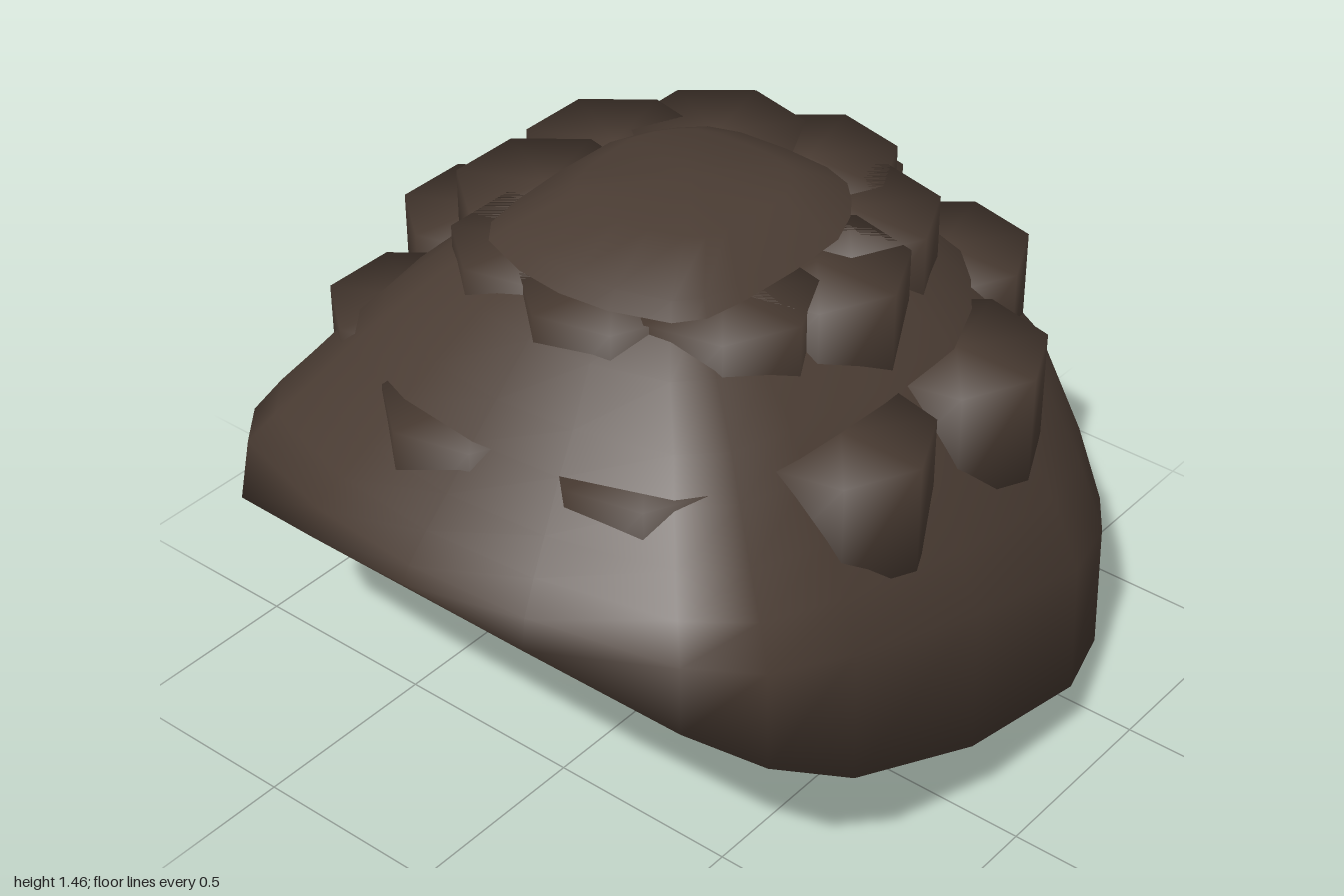
import * as THREE from 'three';
import { mergeVertices } from 'three/addons/utils/BufferGeometryUtils.js';

const hairBrown = new THREE.MeshStandardMaterial({ color: 0x4a3c33 });
hairBrown.name = 'hairBrown';

// Lower rim on the left half, from the back centre round to the front centre
const halfRim = [
  [0, 0, -0.975], [0.36, 0.01, -0.955], [0.58, 0.04, -0.88], [0.72, 0.09, -0.74],
  [0.83, 0.15, -0.58], [0.92, 0.21, -0.33], [0.91, 0.29, 0.08], [0.86, 0.44, 0.48],
  [0.8, 0.6, 0.72], [0.67, 0.72, 0.86], [0.32, 0.84, 0.97], [0, 0.88, 1],
];
const mirrored = halfRim.slice(1, -1).reverse().map(([x, y, z]) => [-x, y, z]);
const rim = [...halfRim, ...mirrored];

// Higher loops keep the outline of the rim, resized and tilted from back to front
function shellLoop([yFront, zFront, yBack, zBack, halfWidth]) {
  return rim.map(([x, , z]) => {
    const k = (z + 0.975) / 1.975;
    return [(x / 0.92) * halfWidth, yBack + (yFront - yBack) * k, zBack + (zFront - zBack) * k];
  });
}

// Closed cap: loops skinned from rim to crown, with a curved sheet underneath
function capGeometry() {
  const rings = [
    [0.92, 0.98, 0.36, -1.0, 0.895],
    [0.98, 0.92, 0.6, -0.94, 0.83],
    [1.04, 0.85, 0.82, -0.86, 0.755],
    [1.13, 0.76, 1.0, -0.73, 0.665],
    [1.2, 0.68, 1.13, -0.62, 0.59],
    [1.3, 0.57, 1.25, -0.5, 0.47],
    [1.4, 0.42, 1.37, -0.35, 0.33],
    [1.46, 0.25, 1.45, -0.2, 0.22],
  ];
  const loops = [rim, ...rings.map(shellLoop)];
  const n = rim.length;
  const last = loops.length - 1;
  const index = [];
  loops.forEach((loop, i) => {
    for (let j = 0; j < n; j++) {
      const a = i * n + j;
      const b = i * n + ((j + 1) % n);
      if (i === last) index.push(a, n * loops.length, b);
      else index.push(a, a + n, b, b, a + n, b + n);
    }
  });
  // Underside strips run straight across between mirrored rim points
  for (let k = 0; k < halfRim.length - 1; k++) {
    const across = (n - k) % n;
    const nextAcross = n - k - 1;
    if (k > 0) index.push(k, k + 1, across);
    if (k < halfRim.length - 2) index.push(k + 1, nextAcross, across);
  }
  const geometry = new THREE.BufferGeometry();
  const positions = [...loops.flat(), [0, 1.46, 0]].flat();
  geometry.setAttribute('position', new THREE.Float32BufferAttribute(positions, 3));
  geometry.setIndex(index);
  geometry.computeVertexNormals();
  return geometry;
}

// Seven-sided curl with soft normals running over its edges
function curlGeometry(radius, height) {
  const raw = new THREE.CylinderGeometry(radius, radius, height, 7);
  raw.deleteAttribute('normal');
  raw.deleteAttribute('uv');
  const geometry = mergeVertices(raw);
  geometry.rotateY(Math.PI / 2);
  geometry.computeVertexNormals();
  return geometry;
}

export function createModel() {
  const group = new THREE.Group();
  group.name = 'curlyHair';

  const cap = new THREE.Mesh(capGeometry(), hairBrown);
  cap.name = 'hairCap';
  group.add(cap);

  // Two rings of nine curls
  const curl = curlGeometry(0.22, 0.28);
  const rows = [
    { name: 'lowerCurl', y: 0.99, radius: 0.64, start: Math.PI },
    { name: 'upperCurl', y: 1.23, radius: 0.36, start: 0 },
  ];
  for (const row of rows) {
    for (let i = 0; i < 9; i++) {
      const angle = row.start + (i / 9) * Math.PI * 2;
      const mesh = new THREE.Mesh(curl, hairBrown);
      mesh.name = row.name;
      mesh.position.set(Math.cos(angle) * row.radius, row.y, Math.sin(angle) * row.radius);
      group.add(mesh);
    }
  }
  return group;
}
